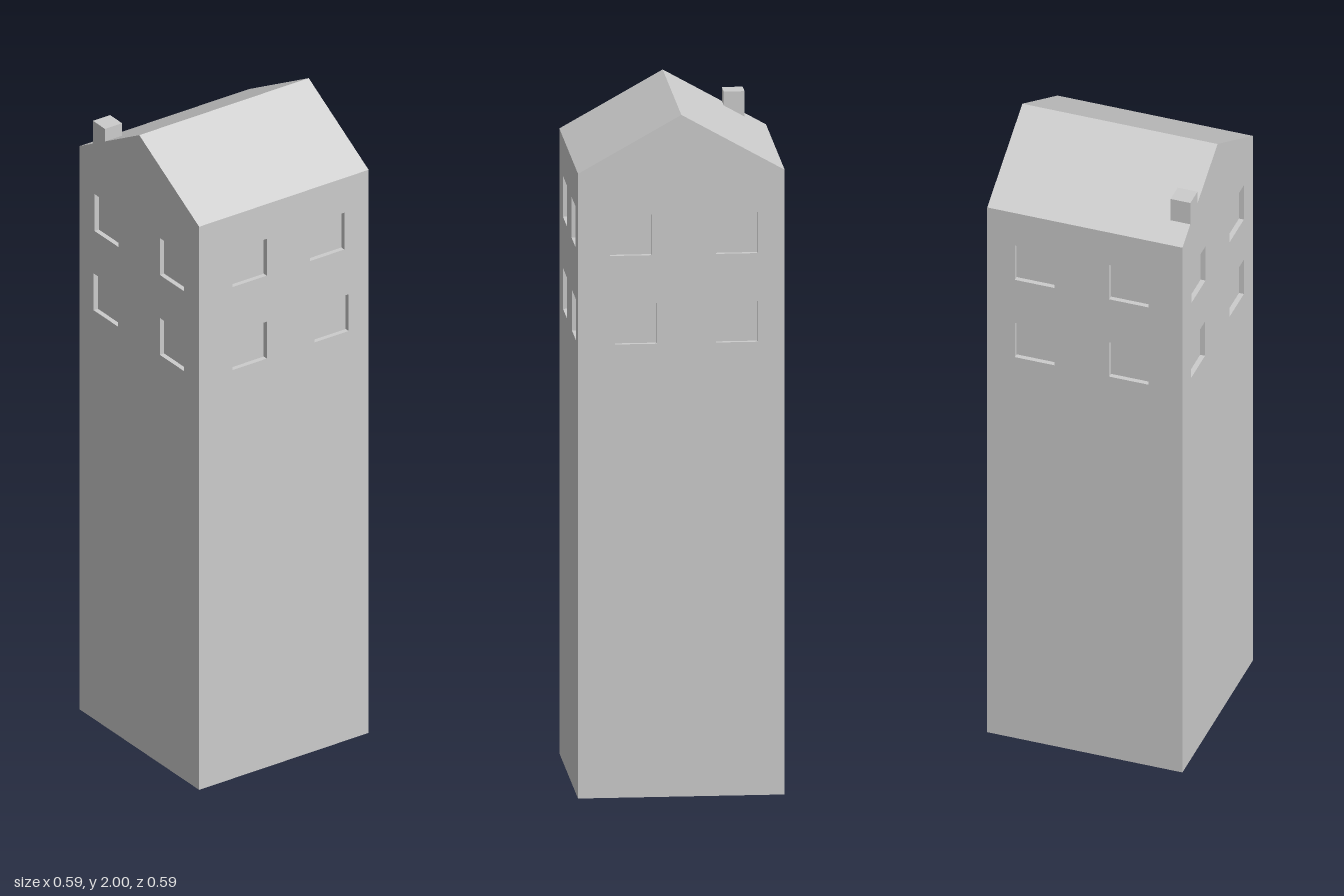
import * as THREE from 'three';
import { mergeGeometries } from 'three/addons/utils/BufferGeometryUtils.js';

const HALF = 0.297;    // half width and half depth of the tower
const EAVE = 1.833;
const RIDGE = 2;
const WINDOW = 0.12;   // window side length
const RECESS = 0.015;  // window depth

const material = new THREE.MeshStandardMaterial({ color: 0xcccccc, flatShading: true });

function addMesh(parent, name, geometry) {
  const mesh = new THREE.Mesh(geometry, material);
  mesh.name = name;
  parent.add(mesh);
  return mesh;
}

function polygon(points) {
  return points.map(([x, y]) => new THREE.Vector2(x, y));
}

// Sunken window: a pane and four reveals facing inwards
function windowRecess(x, y) {
  const parts = [new THREE.PlaneGeometry(WINDOW, WINDOW).translate(0, 0, -RECESS)];
  for (let k = 0; k < 4; k++) {
    parts.push(new THREE.PlaneGeometry(RECESS, WINDOW)
      .rotateY(Math.PI / 2)
      .translate(-WINDOW / 2, 0, -RECESS / 2)
      .rotateZ(k * Math.PI / 2));
  }
  return mergeGeometries(parts).translate(x + WINDOW / 2, y + WINDOW / 2, HALF);
}

// Wall facing outwards at the given turn; windows are [left, bottom] corners
function wall(name, gabled, turn, windows) {
  const group = new THREE.Group();
  group.name = name;
  group.rotation.y = turn;
  const outline = [[-HALF, 0], [HALF, 0], [HALF, EAVE]];
  if (gabled) outline.push([0, RIDGE]);
  outline.push([-HALF, EAVE]);
  const shape = new THREE.Shape(polygon(outline));
  for (const [x, y] of windows) {
    shape.holes.push(new THREE.Path(polygon([
      [x, y], [x, y + WINDOW], [x + WINDOW, y + WINDOW], [x + WINDOW, y],
    ])));
  }
  addMesh(group, 'wallFace', new THREE.ShapeGeometry(shape).translate(0, 0, HALF));
  for (const [x, y] of windows) addMesh(group, 'window', windowRecess(x, y));
  return group;
}

export function createModel() {
  const model = new THREE.Group();
  model.name = 'towerHouse';

  // Walls
  model.add(
    wall('frontWall', true, 0,
      [[-0.222, 1.59], [0.102, 1.59], [-0.226, 1.33], [0.102, 1.33]]),
    wall('leftWall', false, Math.PI / 2,
      [[-0.18, 1.6], [0.092, 1.6], [-0.18, 1.33], [0.107, 1.33]]),
    wall('backWall', true, Math.PI,
      [[-0.205, 1.59], [0.099, 1.59], [-0.19, 1.33], [0.099, 1.33]]),
    wall('rightWall', false, -Math.PI / 2,
      [[-0.213, 1.6], [0.074, 1.6], [-0.213, 1.33], [0.074, 1.33]]),
  );

  // Roof slopes
  const rise = RIDGE - EAVE;
  const angle = Math.atan2(rise, HALF);
  for (const side of [-1, 1]) {
    addMesh(model, side > 0 ? 'leftRoof' : 'rightRoof',
      new THREE.PlaneGeometry(Math.hypot(HALF, rise), 2 * HALF)
        .rotateX(-Math.PI / 2)
        .rotateZ(-side * angle)
        .translate(side * HALF / 2, (EAVE + RIDGE) / 2, 0));
  }

  // Chimney, cut to the slope and flush with the front wall
  const roofY = (x) => RIDGE - Math.abs(x) * rise / HALF;
  const [x0, x1, top, depth] = [-0.23, -0.17, 1.945, 0.06];
  const profile = new THREE.Shape(polygon([[x0, roofY(x0)], [x1, roofY(x1)], [x1, top], [x0, top]]));
  addMesh(model, 'chimney',
    new THREE.ExtrudeGeometry(profile, { depth, bevelEnabled: false }).translate(0, 0, HALF - depth));

  // Underside
  addMesh(model, 'base', new THREE.PlaneGeometry(2 * HALF, 2 * HALF).rotateX(Math.PI / 2));

  return model;
}
